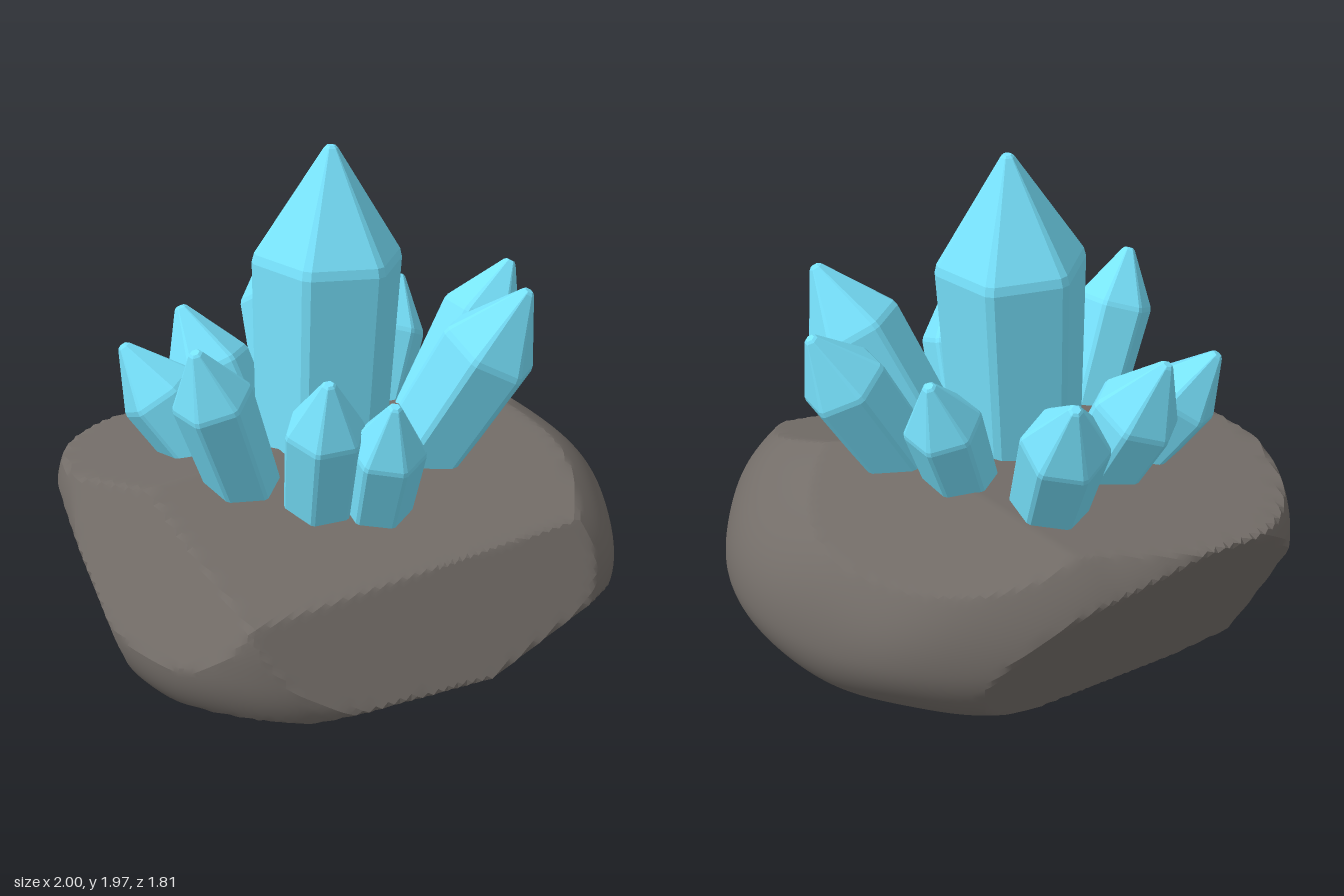
import * as THREE from 'three';
import { toCreasedNormals } from 'three/addons/utils/BufferGeometryUtils.js';

const rockMaterial = new THREE.MeshStandardMaterial({ color: 0x736d68 });
const crystalMaterial = new THREE.MeshStandardMaterial({ color: 0x78e4ff, flatShading: true });

// Flat cuts chipped off the boulder: normal x, y, z and distance from the origin
const CUTS = [
  [0, 0.447, 0.894, 0.945],       // front face
  [0, -0.89, 0.454, 0.128],       // lower front
  [0.34, -0.73, 0.58, 0.33],      // lower front corner
  [0, -0.978, 0.21, 0.025],       // underside, front
  [-0.2, -0.94, 0.27, 0.07],      // underside, front right
  [-0.14, -0.42, -0.9, 0.535],    // undercut back
  [0, -0.98, -0.186, -0.022],     // underside, back
  [-0.114, -0.985, -0.12, -0.01], // underside, side
  [-0.85, 0.46, 0.26, 1.095],     // side chip, upper
  [-0.9, -0.37, -0.22, 0.704],    // side chip, lower
  [-0.057, 0.943, 0.33, 0.885],   // top, front slope
  [-0.079, 0.984, -0.157, 0.91],  // top, back slope
  [0.2, 0.94, -0.27, 0.98],       // top, back left slope
];

// Boulder: a squashed sphere, boxier towards the back right, trimmed by the cuts
function makeRock() {
  const geo = new THREE.IcosahedronGeometry(1, 48);
  const pos = geo.attributes.position;
  const centre = new THREE.Vector3(0, 0.47, 0);
  const d = new THREE.Vector3();
  const n = new THREE.Vector3();
  const { smoothstep } = THREE.MathUtils;
  for (let i = 0; i < pos.count; i++) {
    d.fromBufferAttribute(pos, i).normalize();
    const p = 2 + smoothstep(-d.x, 0, 0.7) * (0.4 + 0.7 * smoothstep(-d.z, -0.4, 0.4));
    const b = d.y > 0 ? 0.6 : 0.47;
    const c = d.z > 0 ? 0.99 : 0.955;
    let r = Math.pow(
      Math.abs(d.x) ** p + Math.abs(d.y / b) ** p + Math.abs(d.z / c) ** p, -1 / p);
    // gentle lumps
    r *= 1 + 0.01 * Math.sin(7 * d.x + 2) * Math.sin(9 * d.y + 1) * Math.cos(8 * d.z);
    for (const [x, y, z, dist] of CUTS) {
      n.set(x, y, z);
      const facing = n.dot(d);
      if (facing > 0) r = Math.min(r, (dist - n.dot(centre)) / facing);
    }
    d.multiplyScalar(r).add(centre);
    pos.setXYZ(i, d.x, d.y, d.z);
  }
  const mesh = new THREE.Mesh(toCreasedNormals(geo, 0.35), rockMaterial);
  mesh.name = 'rock';
  return mesh;
}

// Crystal: a six-sided prism with narrow bevelled corners and a pointed cap
function makeCrystal(name, base, tip, radius, spin) {
  const from = new THREE.Vector3(...base);
  const axis = new THREE.Vector3(...tip).sub(from);
  const length = axis.length();
  const shoulder = length - radius * 1.45;
  const profile = [
    [0, 0], [radius * 0.87, 0],
    [radius * 0.99, shoulder - radius * 0.06],
    [radius * 0.96, shoulder + radius * 0.06],
    [0.025, length - 0.008], [0.016, length], [0, length],
  ].map(([x, y]) => new THREE.Vector2(x, y));
  const geo = new THREE.LatheGeometry(profile, 12);

  // Gather the twelve sides in pairs around six corners
  const pos = geo.attributes.position;
  for (let i = 0; i < pos.count; i++) {
    const r = Math.hypot(pos.getX(i), pos.getZ(i));
    const k = Math.round(Math.atan2(pos.getZ(i), pos.getX(i)) / (Math.PI / 6));
    const corner = Math.floor(k / 2) * Math.PI / 3;
    const a = corner + (k % 2 === 0 ? -0.06 : 0.06) + spin;
    pos.setXYZ(i, r * Math.cos(a), pos.getY(i), r * Math.sin(a));
  }
  geo.computeVertexNormals();

  const mesh = new THREE.Mesh(geo, crystalMaterial);
  mesh.name = name;
  mesh.position.copy(from);
  mesh.quaternion.setFromUnitVectors(new THREE.Vector3(0, 1, 0), axis.normalize());
  return mesh;
}

// name, base, tip, radius, spin
const CRYSTALS = [
  ['mainCrystal', [-0.085, 0.75, -0.03], [-0.03, 1.975, -0.05], 0.273, 0.2],
  ['backCrystal', [0.005, 0.74, -0.43], [0.085, 1.375, -0.8], 0.155, 0.5],
  ['backRightCrystal', [-0.26, 0.74, -0.27], [-0.43, 1.295, -0.5], 0.165, 0.2],
  ['outerRightCrystal', [-0.41, 0.74, -0.2], [-0.7, 1.23, -0.39], 0.15, 0.4],
  ['rightCrystal', [-0.42, 0.74, 0.1], [-0.665, 1.415, 0.21], 0.143, 0.3],
  ['frontCrystal', [-0.245, 0.7, 0.27], [-0.29, 1.325, 0.46], 0.143, 0.1],
  ['smallFrontCrystal', [-0.065, 0.67, 0.34], [-0.09, 1.24, 0.555], 0.138, 0.5],
  ['backLeftCrystal', [0.19, 0.75, -0.21], [0.41, 1.33, -0.36], 0.14, 0.3],
  ['frontLeftCrystal', [0.185, 0.76, 0.13], [0.52, 1.495, 0.39], 0.183, 0.3],
  ['leftCrystal', [0.3, 0.76, -0.03], [0.71, 1.435, -0.05], 0.156, 0.5],
];

export function createModel() {
  const model = new THREE.Group();
  model.name = 'crystalCluster';
  model.add(makeRock());
  for (const crystal of CRYSTALS) model.add(makeCrystal(...crystal));
  return model;
}
